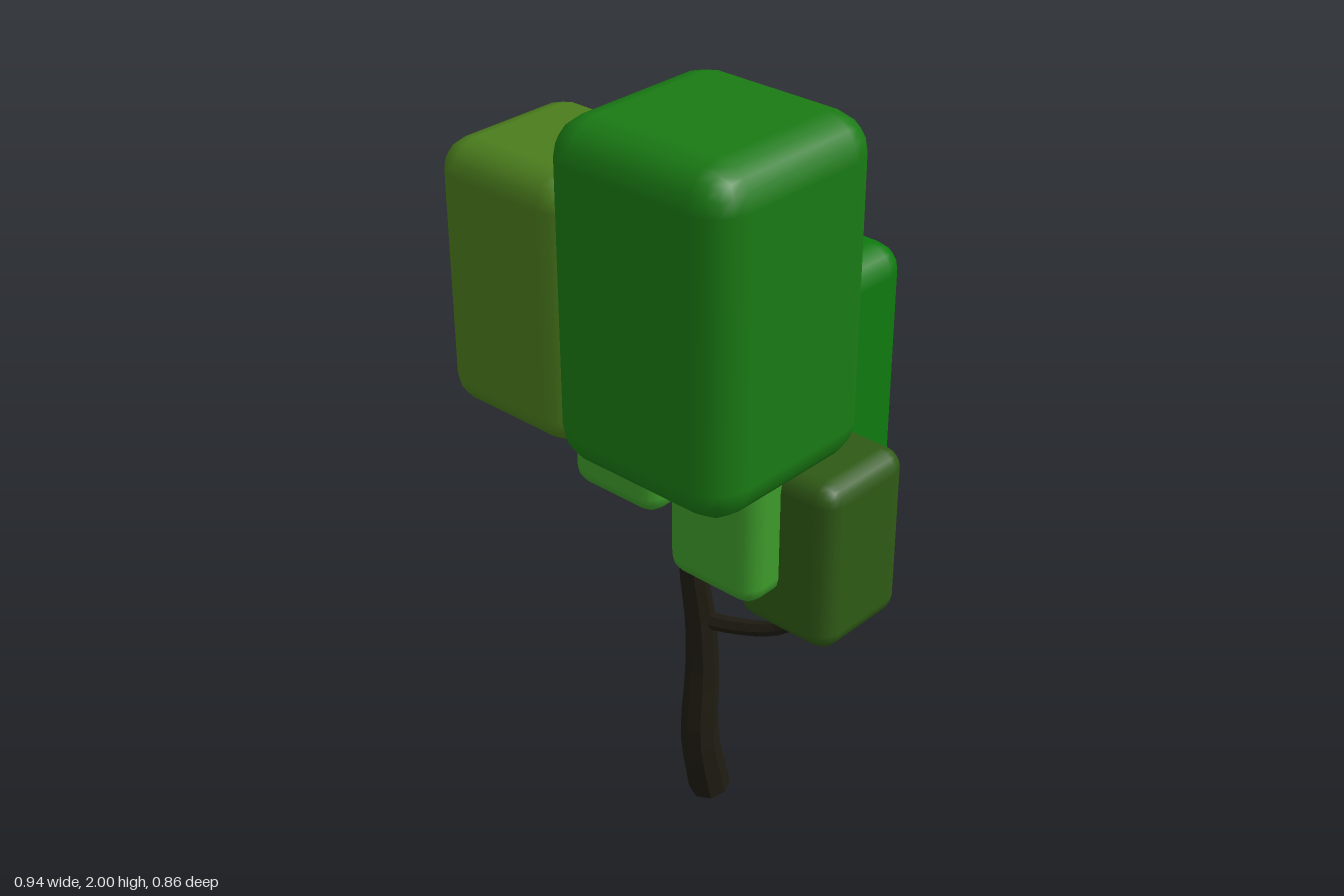
import * as THREE from 'three';
import { RoundedBoxGeometry } from 'three/addons/geometries/RoundedBoxGeometry.js';

const V = (p) => new THREE.Vector3(...p);

// Tapered, capped limb along a smooth path.
function limb(name, points, r0, r1, material, sides = 8, rings = 14) {
  const curve = new THREE.CatmullRomCurve3(points.map(V));
  const geo = new THREE.TubeGeometry(curve, rings, 1, sides, false);
  const pos = geo.attributes.position;
  const v = new THREE.Vector3();
  for (let i = 0; i <= rings; i++) {
    const centre = curve.getPointAt(i / rings);
    // end rings collapse to the middle of their neighbours, closing the limb
    const isEnd = i === 0 || i === rings;
    const t = THREE.MathUtils.clamp((i - 1) / (rings - 2), 0, 1);
    const target = curve.getPointAt(t);
    const radius = isEnd ? 0 : THREE.MathUtils.lerp(r0, r1, t);
    for (let j = 0; j <= sides; j++) {
      const k = i * (sides + 1) + j;
      v.fromBufferAttribute(pos, k).sub(centre).multiplyScalar(radius).add(target);
      pos.setXYZ(k, v.x, v.y, v.z);
    }
  }
  geo.computeVertexNormals();
  const mesh = new THREE.Mesh(geo, material);
  mesh.name = name;
  return mesh;
}

// Rounded block of leaves between two corners.
function leafBlock(name, min, max, color) {
  const a = V(min), b = V(max);
  const size = b.clone().sub(a);
  const geo = new RoundedBoxGeometry(size.x, size.y, size.z, 2, size.x * 0.18);
  const mesh = new THREE.Mesh(geo, new THREE.MeshStandardMaterial({ color }));
  mesh.position.copy(a.add(b).multiplyScalar(0.5));
  mesh.name = name;
  return mesh;
}

export function createModel() {
  const tree = new THREE.Group();
  tree.name = 'tree';
  const bark = new THREE.MeshStandardMaterial({ color: 0x1f1c12, flatShading: true });

  // Trunk with a gentle bend
  tree.add(limb('trunk', [
    [-0.027, 0.014, -0.108], [-0.027, 0.2, -0.07], [-0.027, 0.4, -0.078],
    [-0.026, 0.55, -0.07], [-0.026, 0.7, -0.045], [-0.028, 0.88, -0.03], [-0.03, 1.02, -0.03],
  ], 0.053, 0.024, bark, 8, 20));

  // Branches, each ending inside its leaf block
  const branches = [
    ['lowerBranch', [[-0.026, 0.55, -0.075], [0.08, 0.57, -0.09], [0.19, 0.61, -0.11], [0.29, 0.71, -0.135], [0.3, 0.78, -0.14]]],
    ['middleBranch', [[-0.026, 0.72, -0.045], [0.06, 0.735, -0.04], [0.12, 0.77, -0.03], [0.16, 0.85, -0.02]]],
    ['backBranch', [[-0.026, 0.83, -0.035], [0.02, 0.86, -0.09], [0.06, 0.9, -0.16], [0.085, 1.0, -0.23]]],
    ['leftBranch', [[-0.03, 0.96, -0.03], [-0.12, 1.02, 0.02], [-0.22, 1.09, 0.07], [-0.28, 1.2, 0.1]]],
    ['frontBranch', [[-0.03, 0.97, -0.03], [0.04, 1.07, 0.04], [0.13, 1.14, 0.11], [0.21, 1.2, 0.17], [0.24, 1.28, 0.2]]],
    ['topBranch', [[-0.03, 1.0, -0.03], [0, 1.12, -0.02], [0.03, 1.26, -0.01]]],
  ];
  for (const [name, points] of branches) tree.add(limb(name, points, 0.022, 0.014, bark, 6));

  // Foliage: name, lowest corner, highest corner, colour
  const blocks = [
    ['frontLeaves', [-0.01, 1.235, -0.05], [0.47, 2.0, 0.43], 0x1a7a14],
    ['leftLeaves', [-0.475, 1.15, -0.1], [-0.08, 1.785, 0.3], 0x4a7c1d],
    ['centreLeaves', [-0.14, 1.19, -0.19], [0.21, 1.76, 0.168], 0x2c6c10],
    ['backLeaves', [-0.095, 0.945, -0.43], [0.27, 1.525, -0.065], 0x0f7a0f],
    ['smallLeftLeaves', [-0.21, 0.98, -0.09], [0.05, 1.385, 0.175], 0x3d9a2a],
    ['smallRightLeaves', [0.02, 0.805, -0.147], [0.28, 1.22, 0.107], 0x3d9a2a],
    ['lowLeaves', [0.148, 0.695, -0.265], [0.42, 1.13, 0.01], 0x2f5a16],
  ];
  for (const block of blocks) tree.add(leafBlock(...block));

  return tree;
}
